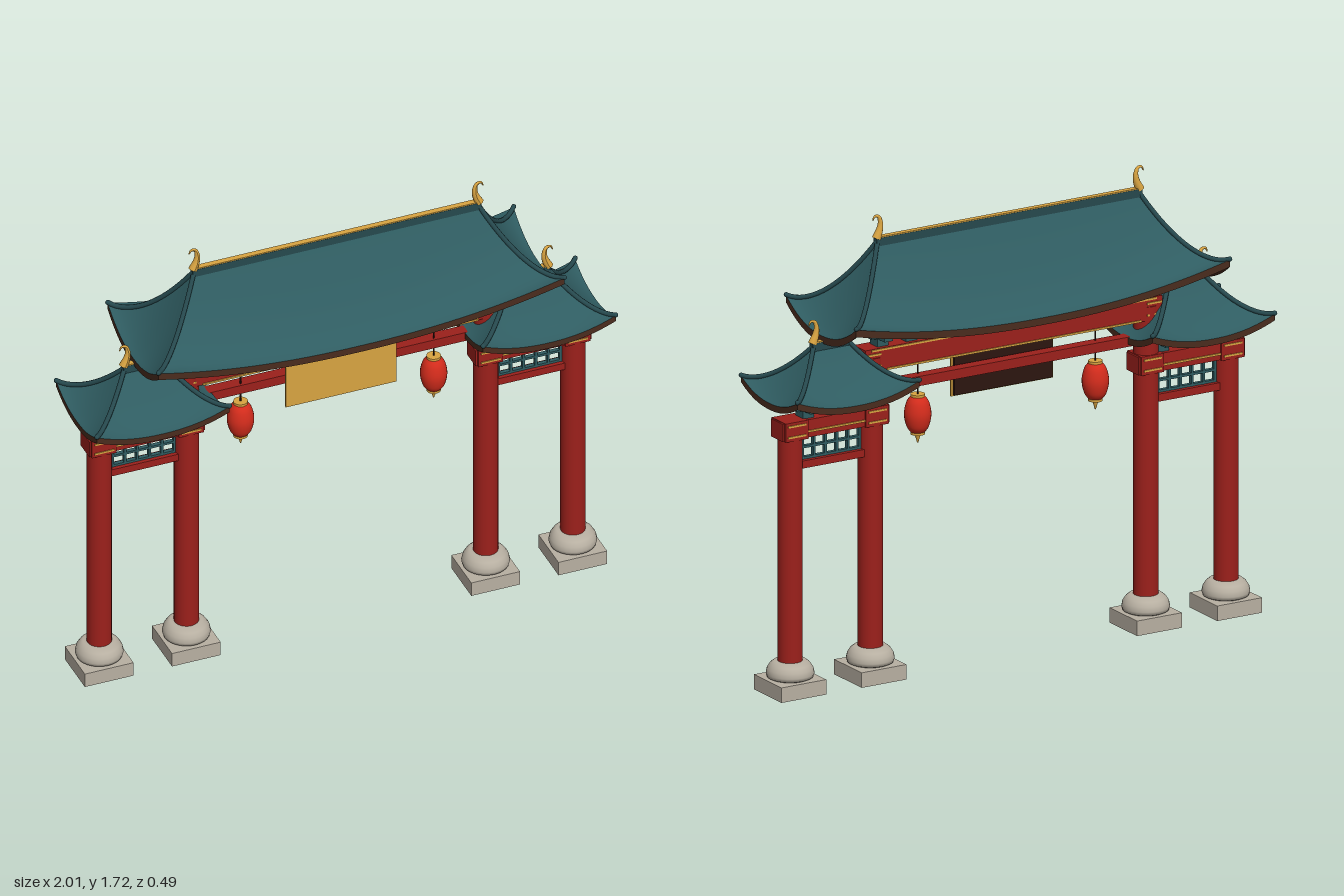
import * as THREE from 'three';

const paint = (color, side = THREE.FrontSide) => new THREE.MeshStandardMaterial({ color, side });
const RED = paint(0x9c201b), TEAL = paint(0x2f5c61), GOLD = paint(0xd9a441), STONE = paint(0xb8b0a2);
const BROWN = paint(0x4a2c1e, THREE.DoubleSide), DARK = paint(0x2c1510), LANTERN = paint(0xd42c1c);
const RIB = paint(0x26494e);

function add(parent, name, geometry, material, x = 0, y = 0, z = 0) {
  const mesh = new THREE.Mesh(geometry, material);
  mesh.name = name;
  mesh.position.set(x, y, z);
  parent.add(mesh);
  return mesh;
}
const box = (parent, name, material, w, h, d, x, y, z = 0) =>
  add(parent, name, new THREE.BoxGeometry(w, h, d), material, x, y, z);

// Grid surface from a rule f(u, t) -> [x, y, z]
function sheet(f, nu, nt, flip = false) {
  const pos = [], idx = [];
  for (let i = 0; i <= nu; i++) for (let j = 0; j <= nt; j++) pos.push(...f(i / nu, j / nt));
  for (let i = 0; i < nu; i++) for (let j = 0; j < nt; j++) {
    const a = i * (nt + 1) + j, b = a + 1, c = a + nt + 1, d = c + 1;
    idx.push(...(flip ? [a, c, b, c, d, b] : [a, b, c, c, b, d]));
  }
  const g = new THREE.BufferGeometry();
  g.setAttribute('position', new THREE.Float32BufferAttribute(pos, 3));
  g.setIndex(idx);
  g.computeVertexNormals();
  return g;
}

// Curling ridge horn: swept circle that tapers to its tip
function horn(parent, side, x, y) {
  const curve = new THREE.CatmullRomCurve3([[0.005, 0], [-0.008, 0.03], [-0.012, 0.055], [-0.004, 0.08],
    [0.012, 0.083], [0.02, 0.068]].map(([a, b]) => new THREE.Vector3(side * a, b, 0)));
  const seg = 20, rad = 10;
  const g = new THREE.TubeGeometry(curve, seg, 1, rad);
  const p = g.attributes.position, v = new THREE.Vector3();
  for (let i = 0; i <= seg; i++) {
    const c = curve.getPointAt(i / seg), r = 0.015 * (1 - i / seg) + 0.002;
    for (let j = 0; j <= rad; j++) {
      const k = i * (rad + 1) + j;
      v.fromBufferAttribute(p, k).sub(c).multiplyScalar(r).add(c);
      p.setXYZ(k, v.x, v.y, v.z);
    }
  }
  g.computeVertexNormals();
  add(parent, 'ridgeHorn', g, GOLD, x, y, 0);
}

// Hipped roof with concave slopes and lifted corners
function roof(name, { hx, hz, ridge, top, eave, lift, thick }) {
  const group = new THREE.Group();
  group.name = name;
  const corners = [[-hx, hz], [hx, hz], [hx, -hz], [-hx, -hz]];
  const mix = THREE.MathUtils.lerp;
  for (let s = 0; s < 4; s++) {
    const A = corners[s], B = corners[(s + 1) % 4];
    const slope = (drop) => (u, t) => {
      const c = Math.abs(2 * u - 1);
      const rx = mix(Math.sign(A[0]), Math.sign(B[0]), u) * ridge;
      const y = eave + (top - eave) * (1 - t) ** 1.5 + lift * t * t * c ** 2.2;
      return [mix(rx, mix(A[0], B[0], u), t), y - drop, mix(0, mix(A[1], B[1], u), t)];
    };
    add(group, 'roofSlope', sheet(slope(0), 28, 14), TEAL);
    add(group, 'soffit', sheet(slope(thick), 28, 14, true), BROWN);
    add(group, 'eaveBoard', sheet((u, t) => slope(t * thick)(u, 1), 28, 1), BROWN);
    // Hip rib
    const pts = Array.from({ length: 13 }, (_, i) => new THREE.Vector3(...slope(-0.003)(0, i / 12)));
    add(group, 'hipRib', new THREE.TubeGeometry(new THREE.CatmullRomCurve3(pts), 24, 0.009, 8), RIB);
    add(group, 'hipRibEnd', new THREE.SphereGeometry(0.009, 10, 8), RIB, ...pts[12].toArray());
  }
  box(group, 'ridge', RIB, 2 * ridge + 0.02, 0.03, 0.024, 0, top);
  box(group, 'ridgeCap', GOLD, 2 * ridge + 0.02, 0.006, 0.022, 0, top + 0.016);
  for (const s of [-1, 1]) horn(group, s, s * ridge, top + 0.012);
  return group;
}

// Stacked bracket: block, cross arms, bearing pads
function bracket(parent, x, y) {
  const g = new THREE.Group();
  g.name = 'bracket';
  g.position.set(x, y, 0);
  box(g, 'bracketBlock', TEAL, 0.045, 0.03, 0.05, 0, 0.015);
  box(g, 'bracketArm', TEAL, 0.085, 0.02, 0.035, 0, 0.038);
  box(g, 'bracketCrossArm', TEAL, 0.035, 0.02, 0.13, 0, 0.038);
  for (const s of [-1, 1]) {
    box(g, 'bracketPad', TEAL, 0.025, 0.014, 0.03, s * 0.03, 0.053);
    box(g, 'bracketTip', GOLD, 0.024, 0.014, 0.022, 0, 0.054, s * 0.05);
  }
  parent.add(g);
}

function column(parent, x, height) {
  box(parent, 'plinth', STONE, 0.187, 0.056, 0.187, x, 0.028);
  const drum = [[0.07, 0.055], [0.083, 0.061], [0.087, 0.074], [0.083, 0.092], [0.073, 0.108], [0.058, 0.12], [0, 0.121]];
  add(parent, 'columnBase', new THREE.LatheGeometry(drum.map(p => new THREE.Vector2(...p)), 28), STONE, x);
  add(parent, 'column', new THREE.CylinderGeometry(0.045, 0.045, height - 0.11, 28), RED, x, (height + 0.11) / 2);
}

function lantern(parent, x) {
  const g = new THREE.Group();
  g.name = 'lantern';
  g.position.set(x, 0.945, 0.01);
  const profile = [[0.024, -0.068], [0.038, -0.05], [0.046, -0.025], [0.049, 0], [0.046, 0.025], [0.038, 0.05], [0.024, 0.068]];
  const curve = new THREE.SplineCurve(profile.map(p => new THREE.Vector2(...p)));
  add(g, 'lanternBody', new THREE.LatheGeometry(curve.getPoints(18), 24), LANTERN);
  for (const s of [-1, 1]) add(g, 'lanternCap', new THREE.CylinderGeometry(0.026, 0.026, 0.012, 20), GOLD, 0, s * 0.069);
  add(g, 'tassel', new THREE.CylinderGeometry(0.012, 0.002, 0.035, 12), GOLD, 0, -0.09);
  add(g, 'cord', new THREE.CylinderGeometry(0.003, 0.003, 0.14, 8), DARK, 0, 0.14);
  parent.add(g);
}

export function createModel() {
  const model = new THREE.Group();
  model.name = 'ceremonialGate';

  // Central bay: beams, gold trim, brackets, roof
  const centre = new THREE.Group();
  centre.name = 'centralBay';
  model.add(centre);
  box(centre, 'mainBeam', RED, 1.24, 0.085, 0.08, 0, 1.192);
  box(centre, 'lowerTieBeam', RED, 1.08, 0.036, 0.045, 0, 1.077);
  for (const z of [-0.041, 0.041]) {
    box(centre, 'beamTrim', GOLD, 1.19, 0.007, 0.006, 0, 1.229, z);
    box(centre, 'beamTrim', GOLD, 1.06, 0.007, 0.006, 0, 1.153, z);
    for (const s of [-1, 1]) for (const y of [1.17, 1.213]) box(centre, 'beamEndTrim', GOLD, 0.06, 0.007, 0.006, s * 0.585, y, z);
  }
  for (let i = 0; i < 10; i++) bracket(centre, (i - 4.5) * 0.1195, 1.234);
  const mainRoof = roof('mainRoof', { hx: 0.78, hz: 0.237, ridge: 0.545, top: 1.62, eave: 1.308, lift: 0.085, thick: 0.027 });
  centre.add(mainRoof);

  // Name board, left plain
  box(centre, 'boardBack', DARK, 0.41, 0.165, 0.012, 0, 1.062, 0.036);
  box(centre, 'boardFace', GOLD, 0.426, 0.178, 0.008, 0, 1.063, 0.045);

  for (const s of [-1, 1]) {
    const bay = new THREE.Group();
    bay.name = s > 0 ? 'leftBay' : 'rightBay';
    model.add(bay);
    const mid = s * 0.742;
    column(bay, s * 0.91, 1.0);
    column(bay, s * 0.575, 1.2);
    lantern(bay, s * 0.371);

    // Side beams with gold trim
    box(bay, 'sideBeam', RED, 0.445, 0.066, 0.08, mid, 0.985);
    box(bay, 'lowerSideBeam', RED, 0.27, 0.028, 0.045, mid, 0.847);
    for (const x of [0.91, 0.575]) box(bay, 'beamCollar', RED, 0.095, 0.07, 0.096, s * x, 0.985);
    for (const z of [-0.042, 0.042]) {
      box(bay, 'sideBeamTrim', GOLD, 0.26, 0.007, 0.006, mid, 0.975, z);
      for (const x of [0.91, 0.575]) for (const y of [0.966, 1.006])
        box(bay, 'collarTrim', GOLD, 0.075, 0.007, 0.006, s * x, y, z * 1.15);
    }

    // Lattice panel
    for (let i = 0; i < 6; i++) box(bay, 'latticeUpright', TEAL, 0.009, 0.1, 0.016, mid + (i - 2.5) * 0.0475, 0.908);
    for (const y of [0.866, 0.907, 0.947]) box(bay, 'latticeRail', TEAL, 0.245, 0.009, 0.016, mid, y);

    for (let i = -1; i <= 1; i++) bracket(bay, mid + i * 0.107, 1.017);
    const sideRoof = roof('sideRoof', { hx: 0.255, hz: 0.19, ridge: 0.07, top: 1.272, eave: 1.092, lift: 0.05, thick: 0.024 });
    sideRoof.position.x = mid;
    bay.add(sideRoof);
  }
  return model;
}
